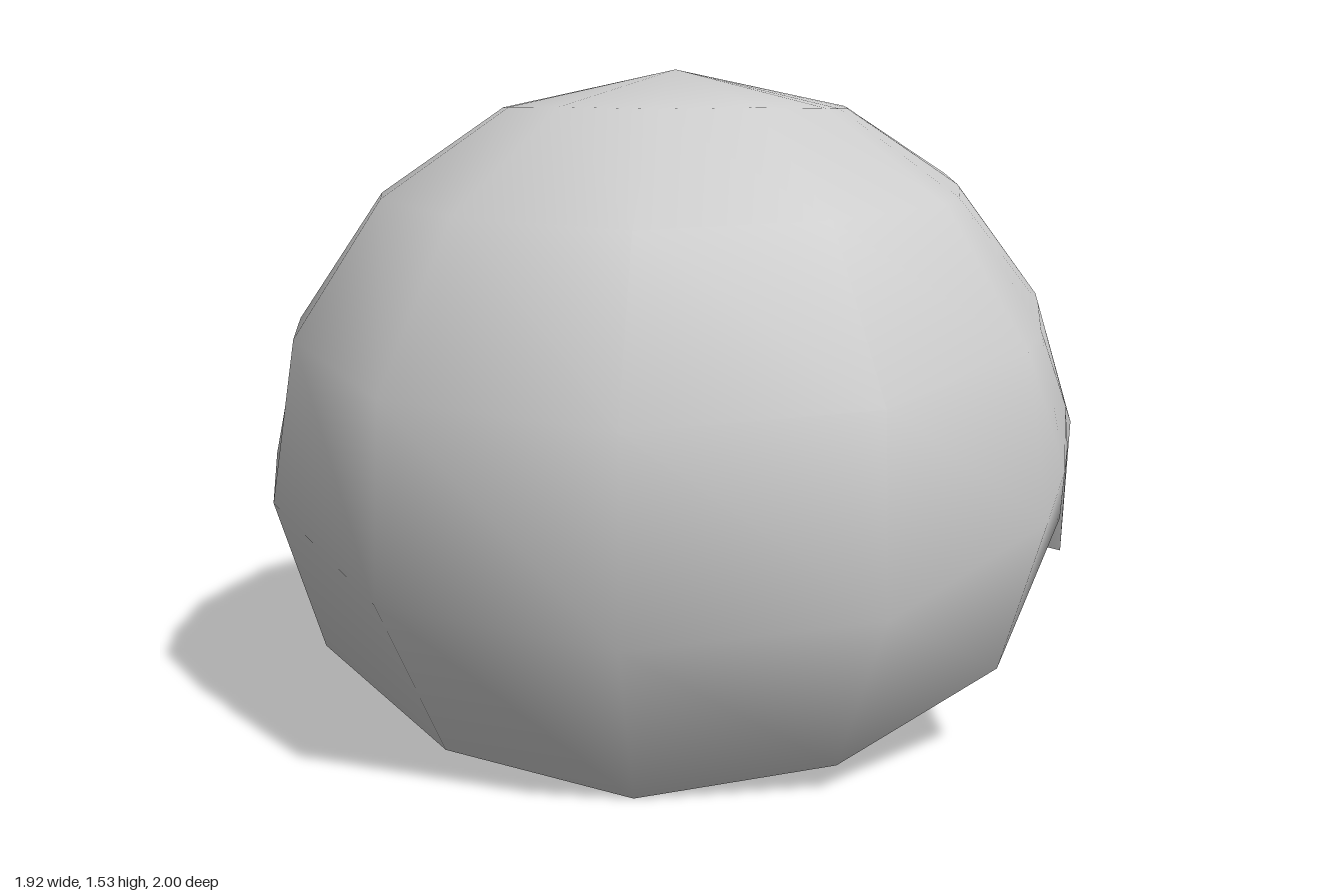
import * as THREE from 'three';
import { mergeVertices } from 'three/addons/utils/BufferGeometryUtils.js';

const CENTRE = new THREE.Vector3(0, 0.6, 0);
const ROWS = 5;
const CROWN = THREE.MathUtils.degToRad(26);
const THICKNESS = 0.085;

// Lower edge of the cap, from the front round by +x to the back
const leftRim = [
  [0.43, 0.06, 0.69], [0.78, 0.2, 0.4], [0.92, 0.52, 0.26],
  [0.95, 0.64, 0.03], [0.945, 0.37, -0.04],
];
const backRim = [
  [0.945, 0.43, -0.24], [0.83, 0.56, -0.66], [0.42, 0.7, -1], [-0.1, 0.89, -0.96],
  // ragged notch and point at the back
  [-0.33, 1.04, -0.75], [-0.46, 0.88, -0.84], [-0.57, 0.64, -0.81],
  [-0.71, 0.79, -0.61], [-0.86, 0.61, -0.43],
];
const rightRim = leftRim.map(([x, y, z]) => [-x, y, z]).reverse();
const rim = [[0, 0, 0.78], ...leftRim, ...backRim, ...rightRim];

// Distance from the centre to the skull surface: slightly squared in plan, round in height
function skullRadius(d) {
  const n = 2.25;
  const plan = (Math.abs(d.x / 0.96) ** n + Math.abs(d.z / 1.03) ** n) ** (1 / n);
  return 1 / Math.hypot(plan, d.y / 0.935);
}

// Points of one meridian: smooth rings over the dome, then the ragged rim point
function meridian(rimPoint) {
  const end = new THREE.Vector3(...rimPoint).sub(CENTRE);
  const sph = new THREE.Spherical().setFromVector3(end);
  const flare = sph.radius / skullRadius(end.clone().normalize());
  const evenRim = THREE.MathUtils.degToRad(105 + 22 * Math.cos(sph.theta));
  const points = [];
  for (let j = 0; j <= ROWS; j++) {
    const ring = THREE.MathUtils.lerp(CROWN, evenRim, (j - 1) / (ROWS - 1));
    let phi = Math.min(ring, sph.phi * (1 - 0.07 * (ROWS - j)));
    if (j === 0) phi = 0;
    if (j === ROWS) phi = sph.phi;
    const d = new THREE.Vector3().setFromSphericalCoords(1, phi, sph.theta);
    points.push(d.multiplyScalar(skullRadius(d) * (1 + (flare - 1) * (phi / sph.phi) ** 5)));
  }
  return points;
}

// Closed shell: outside downwards, round the rim, inside upwards
function shellGeometry() {
  const positions = [];
  const index = [];
  const loop = 2 * ROWS + 2;
  for (const p of rim) {
    const outer = meridian(p);
    const inner = outer.map((v) => v.clone().multiplyScalar(1 - THICKNESS)).reverse();
    for (const v of [...outer, ...inner]) positions.push(...v.add(CENTRE).toArray());
  }
  rim.forEach((_, i) => {
    const a = i * loop;
    const b = ((i + 1) % rim.length) * loop;
    for (let j = 0; j < loop - 1; j++) {
      if (j < loop - 2) index.push(a + j, a + j + 1, b + j + 1);
      if (j > 0) index.push(a + j, b + j + 1, b + j);
    }
  });
  let geometry = new THREE.BufferGeometry();
  geometry.setAttribute('position', new THREE.Float32BufferAttribute(positions, 3));
  geometry.setIndex(index);
  geometry = mergeVertices(geometry, 1e-4);
  geometry.computeVertexNormals();
  return geometry;
}

export function createModel() {
  const group = new THREE.Group();
  group.name = 'cap';
  const shell = new THREE.Mesh(shellGeometry(), new THREE.MeshStandardMaterial({ color: 0xcccccc }));
  shell.name = 'domeShell';
  group.add(shell);
  return group;
}
